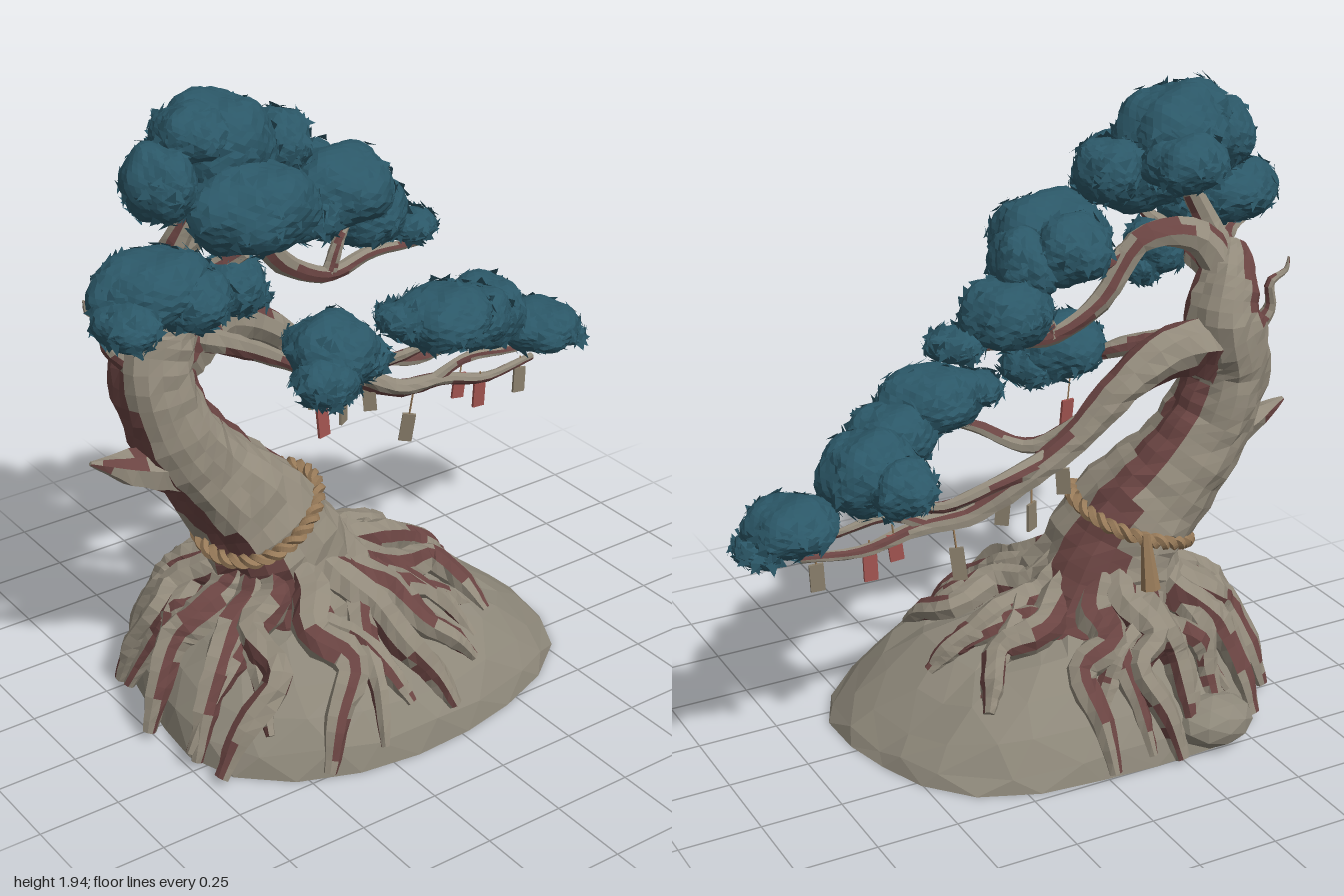
import * as THREE from 'three';
import { mergeGeometries } from 'three/addons/utils/BufferGeometryUtils.js';

const mat = (name, color, extra = {}) => {
  const m = new THREE.MeshStandardMaterial({ color, flatShading: true, ...extra });
  m.name = name;
  return m;
};
const V = (x, y, z) => new THREE.Vector3(x, y, z);

let seed = 7;
const rnd = (a = 0, b = 1) => {
  seed = (seed * 16807) % 2147483647;
  return a + (b - a) * (seed / 2147483647);
};

// Mound outline and height, shared by the rock and the roots
const MX = -0.07, MZ = 0.03, RIMX = 0.68, RIMZ = 0.555;
const wobble = (a) => 1 + 0.025 * Math.sin(3 * a + 1) + 0.02 * Math.sin(5 * a) - 0.04 * Math.cos(4 * a);
const moundHeight = (u, a) =>
  u >= 1 ? 0 : 0.35 * Math.pow(1 - u * u, 0.5 + 0.3 * Math.max(0, Math.cos(a)));
const surface = (x, z) => {
  const dx = (x - MX) / RIMX, dz = (z - MZ) / RIMZ, a = Math.atan2(dz, dx);
  return moundHeight(Math.hypot(dx, dz) / wobble(a), a);
};

function moundGeometry() {
  const sides = 22, levels = [1, 0.97, 0.88, 0.74, 0.56, 0.3], pos = [], idx = [];
  levels.forEach((u, i) => {
    for (let j = 0; j < sides; j++) {
      const a = ((j + (i % 2) * 0.5) / sides) * Math.PI * 2 + (i ? rnd(-0.08, 0.08) : 0), r = u * wobble(a);
      pos.push(MX + RIMX * Math.cos(a) * r, i ? moundHeight(u, a) + rnd(-0.018, 0.015) : 0, MZ + RIMZ * Math.sin(a) * r);
    }
  });
  const top = levels.length * sides;
  pos.push(MX, 0.35, MZ, MX, 0, MZ);
  for (let j = 0; j < sides; j++) {
    const k = (j + 1) % sides;
    for (let i = 0; i < levels.length - 1; i++) {
      const a = i * sides + j, b = i * sides + k, c = a + sides, d = b + sides;
      if (i % 2) idx.push(a, d, b, a, c, d);
      else idx.push(a, c, b, b, c, d);
    }
    const last = (levels.length - 1) * sides;
    idx.push(last + j, top, last + k, j, k, top + 1);
  }
  const g = new THREE.BufferGeometry();
  g.setAttribute('position', new THREE.Float32BufferAttribute(pos, 3));
  g.setIndex(idx);
  g.computeVertexNormals();
  return g;
}

// Ridged, tapering limb through [x, y, z, radius] points; group 0 is pale bark, group 1 the dark grooves
function limbGeometry(pts, sides, steps, ridge, phase) {
  const curve = new THREE.CatmullRomCurve3(pts.map((p) => V(p[0], p[1], p[2])));
  const pos = [], pale = [], dark = [];
  let n = null;
  for (let i = 0; i <= steps; i++) {
    const t = i / steps, p = curve.getPoint(t), T = curve.getTangent(t);
    if (!n) n = V(0, 0, 1).cross(T).normalize();
    n.addScaledVector(T, -n.dot(T)).normalize();
    const b = T.clone().cross(n), f = t * (pts.length - 1), k = Math.min(Math.floor(f), pts.length - 2);
    const r = THREE.MathUtils.lerp(pts[k][3], pts[k + 1][3], f - k);
    const groove = (a) => Math.sin(2 * a + phase + t * 4) + 0.3 * Math.sin(t * 17 + phase);
    for (let j = 0; j < sides; j++) {
      const a = (j / sides) * Math.PI * 2;
      const rr = r * (1 - ridge * groove(a) * 0.7 + ridge * 0.5 * Math.cos(5 * a + t * 5) + rnd(-ridge, ridge) * 0.6);
      const q = p.clone().addScaledVector(n, rr * Math.cos(a)).addScaledVector(b, rr * Math.sin(a));
      pos.push(q.x, Math.max(q.y, 0), q.z);
      if (i === steps) continue;
      const k2 = (j + 1) % sides, A = i * sides + j, B = i * sides + k2;
      (groove(a + Math.PI / sides) > 0.45 ? dark : pale).push(A, B, B + sides, A, B + sides, A + sides);
    }
  }
  const end = curve.getPoint(1), tip = pos.length / 3;
  pos.push(end.x, Math.max(end.y, 0), end.z);
  for (let j = 0; j < sides; j++) pale.push(steps * sides + j, steps * sides + ((j + 1) % sides), tip);
  const g = new THREE.BufferGeometry();
  g.setAttribute('position', new THREE.Float32BufferAttribute(pos, 3));
  g.setIndex([...pale, ...dark]);
  g.addGroup(0, pale.length, 0);
  g.addGroup(pale.length, dark.length, 1);
  g.computeVertexNormals();
  return g;
}

// Lumpy pad of foliage with loose leaf flakes lying over its surface
function foliageGeometry(cx, cy, cz, rx, ry, rz) {
  const g = new THREE.IcosahedronGeometry(1, 7), p = g.attributes.position, v = V(0, 0, 0);
  const ph = rnd(0, 6);
  const place = (d) => {
    const lump = 0.98 + 0.05 * Math.sin(5 * d.x + ph) * Math.sin(4 * d.y + ph) + 0.05 * Math.sin(6 * d.z + 3 * d.x + ph)
      + 0.025 * Math.sin(23 * d.x + 17 * d.y + ph) * Math.sin(21 * d.z);
    return V(cx + d.x * rx * lump, cy + d.y * ry * lump * (d.y < 0 ? 0.9 : 1), cz + d.z * rz * lump);
  };
  for (let i = 0; i < p.count; i++) {
    const q = place(v.fromBufferAttribute(p, i));
    p.setXYZ(i, q.x, q.y, q.z);
  }
  const flakes = [];
  for (let i = 0; i < 110; i++) {
    const y = rnd(-0.95, 0.95), a = rnd(0, 6.283), s = Math.sqrt(1 - y * y);
    const d = V(s * Math.cos(a), y, s * Math.sin(a)), base = place(d);
    const side = V(rnd(-1, 1), rnd(-1, 1), rnd(-1, 1)).cross(d).normalize();
    const out = side.clone().cross(d).multiplyScalar(0.035).addScaledVector(d, rnd(0.002, 0.012));
    flakes.push(...base.clone().addScaledVector(side, 0.016).toArray(),
      ...base.clone().addScaledVector(side, -0.016).toArray(), ...base.add(out).toArray());
  }
  const f = new THREE.BufferGeometry();
  f.setAttribute('position', new THREE.Float32BufferAttribute(flakes, 3));
  f.computeVertexNormals();
  g.deleteAttribute('uv');
  return mergeGeometries([g, f]);
}

export function createModel() {
  const model = new THREE.Group();
  const rock = mat('rock', 0x8e887a), bark = mat('pale bark', 0x928a7b), darkBark = mat('red brown bark', 0x6a4442);
  const leaf = mat('teal leaves', 0x2b5767, { side: THREE.DoubleSide });
  const ropeMat = mat('rope', 0x967958), redTag = mat('red paper', 0xa0534f), tanTag = mat('tan paper', 0x8a7f6c);
  const add = (name, geo, m, parent = model) => {
    const mesh = new THREE.Mesh(geo, m);
    mesh.name = name;
    parent.add(mesh);
    return mesh;
  };
  const limb = (name, pts, sides = 8, steps = 16, ridge = 0.13, phase = rnd(0, 6)) =>
    add(name, limbGeometry(pts, sides, steps, ridge, phase), [bark, darkBark]);

  // Rock mound and the boulder behind it
  add('mound', moundGeometry(), rock);
  const boulder = add('boulder', new THREE.IcosahedronGeometry(0.13, 1), rock);
  boulder.scale.set(1, 0.62, 0.8);
  boulder.position.set(-0.38, 0.08, -0.46);

  // Leaning trunk, dark along its two sides
  limb('trunk', [[-0.2, 0.2, -0.01, 0.3], [-0.25, 0.4, -0.02, 0.22], [-0.32, 0.58, -0.04, 0.18], [-0.45, 0.75, -0.09, 0.15],
    [-0.565, 0.92, -0.11, 0.14], [-0.605, 1.1, -0.13, 0.125], [-0.57, 1.25, -0.15, 0.125], [-0.6, 1.36, -0.13, 0.095],
    [-0.64, 1.44, -0.08, 0.045]], 20, 36, 0.1, -0.4);

  // Branches
  limb('lowerBranch', [[-0.6, 1.08, -0.13, 0.09], [-0.5, 1.16, -0.16, 0.1], [-0.34, 1.18, -0.2, 0.08], [-0.18, 1.1, -0.21, 0.058],
    [-0.05, 0.98, -0.2, 0.048], [0.1, 0.88, -0.18, 0.04], [0.28, 0.78, -0.15, 0.03], [0.44, 0.77, -0.14, 0.024],
    [0.6, 0.73, -0.13, 0.018], [0.8, 0.75, -0.13, 0.012]], 10, 40);
  limb('upperBranch', [[-0.6, 1.33, -0.13, 0.065], [-0.5, 1.49, -0.1, 0.05], [-0.32, 1.5, -0.09, 0.038], [-0.18, 1.34, -0.1, 0.03],
    [-0.02, 1.26, -0.1, 0.024], [0.15, 1.28, -0.12, 0.018], [0.33, 1.27, -0.12, 0.01]], 8, 26);
  limb('leftBranch', [[-0.6, 1.33, -0.12, 0.06], [-0.66, 1.4, 0.0, 0.035], [-0.76, 1.41, 0.12, 0.024], [-0.9, 1.43, 0.2, 0.012]]);
  limb('crownBranch', [[-0.6, 1.35, -0.12, 0.06], [-0.57, 1.5, -0.05, 0.04], [-0.48, 1.7, 0, 0.02]]);
  limb('frontCrownBranch', [[-0.6, 1.33, -0.12, 0.05], [-0.54, 1.42, 0.02, 0.035], [-0.45, 1.52, 0.13, 0.02]]);
  limb('middleBranch', [[-0.5, 1.18, -0.15, 0.05], [-0.34, 1.14, 0, 0.03], [-0.2, 1.07, 0.12, 0.015]]);
  limb('upperTwig', [[-0.32, 1.5, -0.09, 0.03], [-0.18, 1.43, -0.07, 0.022], [-0.05, 1.46, -0.05, 0.012]]);
  limb('twig', [[-0.02, 1.26, -0.1, 0.022], [0.02, 1.36, -0.1, 0.016], [0.08, 1.42, -0.12, 0.01]]);
  limb('twig', [[-0.12, 1.04, -0.2, 0.035], [0.05, 0.93, -0.1, 0.025], [0.18, 0.98, 0, 0.018], [0.3, 1.02, 0.04, 0.01]]);
  limb('twig', [[0.05, 0.92, -0.19, 0.03], [0.22, 0.88, -0.2, 0.022], [0.4, 0.84, -0.18, 0.018], [0.56, 0.92, -0.14, 0.01]]);
  limb('twig', [[0.4, 0.77, -0.14, 0.022], [0.52, 0.82, -0.13, 0.016], [0.7, 0.8, -0.13, 0.012], [0.96, 0.78, -0.13, 0.006]]);
  limb('deadTwig', [[-0.62, 1.1, -0.12, 0.035], [-0.71, 1.17, -0.12, 0.025], [-0.76, 1.23, -0.12, 0.018], [-0.755, 1.31, -0.12, 0.014],
    [-0.81, 1.34, -0.12, 0.009], [-0.82, 1.38, -0.12, 0.004]]);
  limb('deadStub', [[-0.58, 0.8, -0.08, 0.08], [-0.73, 0.85, -0.08, 0.05], [-0.85, 0.9, -0.08, 0.006]], 7, 8);

  // Gnarled roots arching over the mound and down its sides, each with a fork
  const RX = -0.24, RZ = -0.02, count = 14;
  for (let k = 0; k < count; k++) {
    const a = (k / count) * Math.PI * 2 + rnd(-0.1, 0.1), c = Math.cos(a), s = Math.sin(a);
    const reach = (0.53 + 0.05 * s + 0.07 * Math.max(0, c) + 0.01 * Math.max(0, -c)) * rnd(0.94, 1.02);
    const at = (d, lift, low, r, da = 0) => {
      const x = RX + Math.cos(a + da) * d, z = RZ + Math.sin(a + da) * d;
      return [x, Math.max(surface(x, z) + lift, low), z, r];
    };
    const w = rnd(-0.18, 0.18);
    limb('root', [[RX - 0.03 + c * 0.1, 0.52, RZ + s * 0.1, 0.05], [RX + c * 0.2, 0.4 + rnd(-0.02, 0.02), RZ + s * 0.2, 0.06],
      at(0.33, 0.035, 0.345, 0.052, w), at(reach * 0.78, 0.03, 0.29, 0.046, -w * 0.5), at(reach * 0.93, 0.02, 0.16, 0.038, w * 0.5),
      at(reach * 1.03, 0, 0.02, 0.02, w)], 8, 20, 0.18);
    const f = k % 2 ? 0.32 : -0.32;
    limb('rootFork', [at(0.27, 0.04, 0.35, 0.042, w), at(0.36, 0.03, 0.31, 0.038, f * 0.7), at(reach * 0.82, 0.02, 0.2, 0.032, f),
      at(reach * 0.97, -0.01, 0.05, 0.016, f * 1.2)], 7, 14, 0.18);
  }

  // Two-strand rope tied round the trunk, with a loose tail at the back
  const rope = new THREE.Group();
  rope.name = 'rope';
  for (const phase of [0, Math.PI]) {
    const pts = [];
    for (let i = 0; i < 176; i++) {
      const a = (i / 176) * Math.PI * 2, h = a * 16 + phase, r = 0.011 * Math.cos(h);
      pts.push(V(Math.cos(a) * (0.19 + r), 0.011 * Math.sin(h) + 0.012 * Math.sin(2 * a), Math.sin(a) * (0.205 + r)));
    }
    add('ropeStrand', new THREE.TubeGeometry(new THREE.CatmullRomCurve3(pts, true), 264, 0.0135, 5, true), ropeMat, rope);
  }
  rope.position.set(-0.32, 0.595, -0.04);
  rope.rotation.z = 0.44;
  model.add(rope);
  const tail = add('ropeTail', new THREE.CylinderGeometry(0.014, 0.03, 0.17, 6), ropeMat);
  tail.position.set(-0.26, 0.55, -0.265);
  tail.rotation.x = 0.22;

  // Paper tags on strings: x, y, z, string length, material
  [[-0.18, 0.91, 0.1, 0.09, redTag], [-0.02, 0.83, -0.17, 0.08, tanTag], [0.09, 0.745, -0.18, 0.1, tanTag],
    [0.175, 0.77, -0.16, 0.05, tanTag], [0.315, 0.63, -0.15, 0.1, tanTag], [0.51, 0.725, -0.14, 0.03, redTag],
    [0.585, 0.675, -0.13, 0.04, redTag], [0.75, 0.68, -0.13, 0.04, tanTag]].forEach(([x, y, z, len, m], i) => {
    const tag = new THREE.Group();
    tag.name = 'hangingTag';
    const h = i % 4 ? 0.085 : 0.1;
    add('paper', new THREE.BoxGeometry(0.042, h, 0.009), m, tag);
    add('string', new THREE.CylinderGeometry(0.003, 0.003, len, 4), ropeMat, tag).position.y = h / 2 + len / 2;
    tag.position.set(x, y, z);
    tag.rotation.set(rnd(-0.12, 0.12), rnd(-0.6, 0.6), rnd(-0.12, 0.12));
    model.add(tag);
  });

  // Foliage pads: centre and radii of each lump
  const pads = {
    leftFoliage: [[-0.78, 1.515, 0.18, 0.18, 0.105, 0.15], [-0.9, 1.47, 0.26, 0.09, 0.07, 0.11], [-0.69, 1.48, 0.24, 0.11, 0.085, 0.12]],
    lowFrontFoliage: [[-0.47, 1.41, 0.08, 0.1, 0.09, 0.11], [-0.41, 1.36, 0.07, 0.06, 0.055, 0.07]],
    crownFoliage: [[-0.45, 1.78, -0.03, 0.18, 0.155, 0.17], [-0.67, 1.74, 0.05, 0.1, 0.115, 0.13], [-0.54, 1.84, 0.01, 0.11, 0.09, 0.12],
      [-0.43, 1.64, 0.13, 0.2, 0.135, 0.16], [-0.21, 1.72, -0.08, 0.1, 0.1, 0.12], [-0.41, 1.74, -0.18, 0.13, 0.09, 0.12]],
    rightFoliage: [[-0.03, 1.55, -0.05, 0.18, 0.13, 0.165], [-0.14, 1.51, -0.02, 0.1, 0.09, 0.11], [-0.03, 1.54, -0.18, 0.12, 0.11, 0.13],
      [0.09, 1.5, -0.13, 0.1, 0.12, 0.12], [0.17, 1.385, -0.18, 0.14, 0.11, 0.13], [0.32, 1.315, -0.16, 0.09, 0.05, 0.09]],
    middleFoliage: [[-0.16, 1.135, 0.11, 0.14, 0.11, 0.14], [-0.24, 1.09, 0.2, 0.095, 0.075, 0.1], [-0.06, 1.09, 0.12, 0.085, 0.065, 0.1]],
    lowerRightFoliage: [[0.31, 1.08, 0.03, 0.165, 0.1, 0.15], [0.18, 1.1, 0, 0.08, 0.05, 0.09], [0.46, 1.02, -0.03, 0.14, 0.1, 0.13],
      [0.58, 0.965, -0.13, 0.15, 0.13, 0.14], [0.53, 0.95, -0.24, 0.1, 0.09, 0.1]],
    tipFoliage: [[0.82, 0.855, -0.13, 0.14, 0.085, 0.14], [0.92, 0.805, -0.13, 0.07, 0.04, 0.09]],
  };
  for (const [name, lumps] of Object.entries(pads))
    add(name, mergeGeometries(lumps.map((l) => foliageGeometry(...l))), leaf);

  return model;
}
